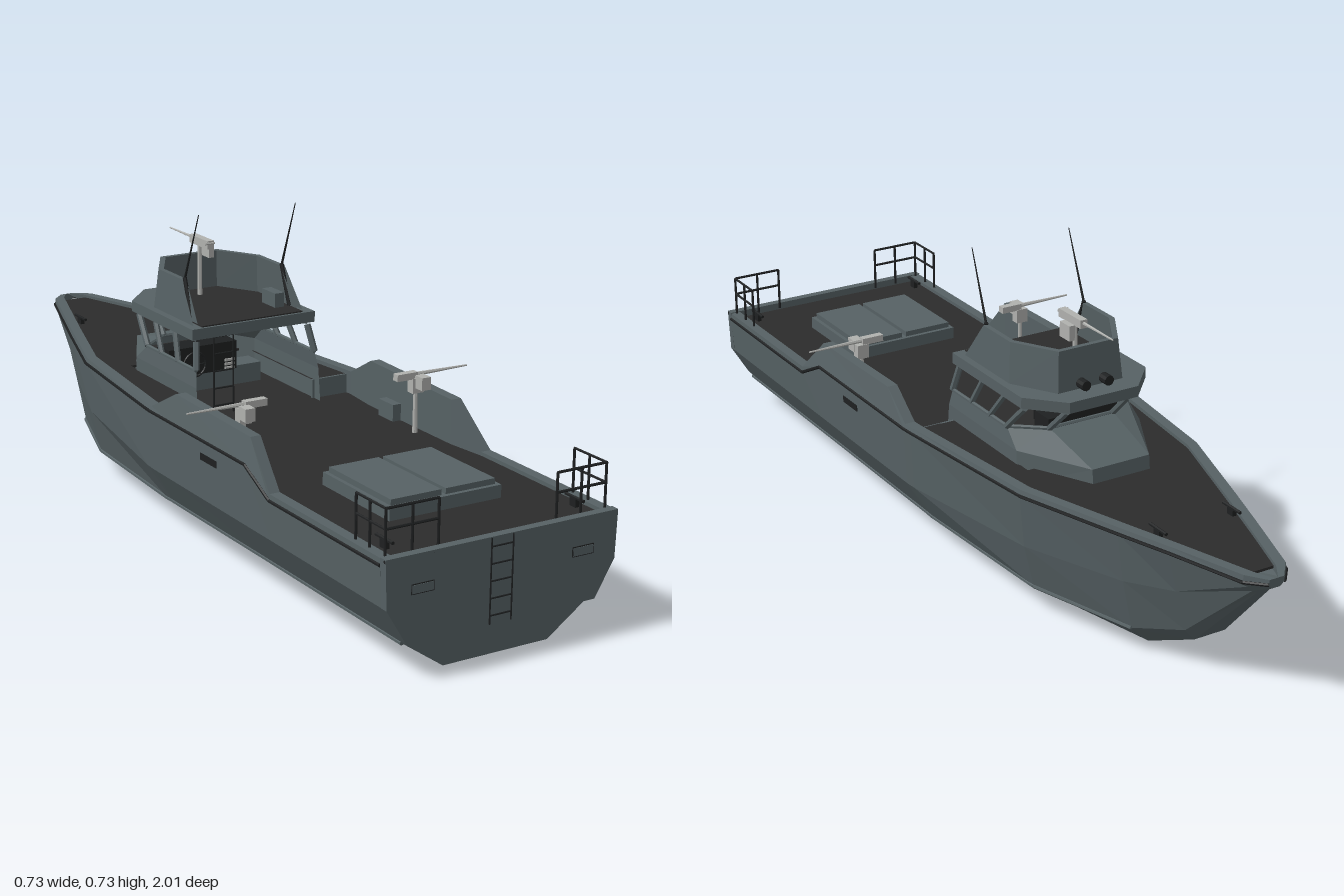
import * as THREE from 'three';

const paint = (name, color) => Object.assign(new THREE.MeshStandardMaterial({ color, side: THREE.DoubleSide, flatShading: true }), { name });

export function createModel() {
  const boat = new THREE.Group();
  boat.name = 'patrolBoat';
  const grey = paint('hullGrey', 0x566164);
  const deckMat = paint('deckCharcoal', 0x2c2c2c);
  const black = paint('fittingBlack', 0x1e2021);
  const steel = paint('gunSteel', 0xb0b1ae);

  const add = (name, geo, mat, parent = boat) => {
    const m = new THREE.Mesh(geo, mat);
    m.name = name;
    parent.add(m);
    return m;
  };
  const box = (name, w, h, d, x, y, z, mat, parent) => {
    const m = add(name, new THREE.BoxGeometry(w, h, d), mat, parent);
    m.position.set(x, y, z);
    return m;
  };
  // Round bar between two points, optionally tapered
  const bar = (name, a, b, r, mat, parent, r2 = r, sides = 6) => {
    const p = new THREE.Vector3(...a), q = new THREE.Vector3(...b), d = q.clone().sub(p);
    const m = add(name, new THREE.CylinderGeometry(r2, r, d.length(), sides), mat, parent);
    m.position.copy(p).add(q).multiplyScalar(0.5);
    m.quaternion.setFromUnitVectors(new THREE.Vector3(0, 1, 0), d.normalize());
    return m;
  };
  const path = (name, pts, r, mat, parent) => {
    for (let i = 1; i < pts.length; i++) bar(name, pts[i - 1], pts[i], r, mat, parent);
  };
  // Faceted skin over rows of points
  const skin = (rows, caps = false) => {
    const v = [];
    const quad = (a, b, c, d) => v.push(...a, ...b, ...c, ...a, ...c, ...d);
    for (let i = 0; i + 1 < rows.length; i++)
      for (let j = 0; j + 1 < rows[i].length; j++)
        quad(rows[i][j], rows[i][j + 1], rows[i + 1][j + 1], rows[i + 1][j]);
    if (caps) {
      const n = rows[0].length, s = rows[0], e = rows[rows.length - 1];
      for (let j = 2; j < n / 2 - 1; j++) {
        quad(s[j], s[n - 1 - j], s[n - 2 - j], s[j + 1]);
        quad(e[j], e[j + 1], e[n - 2 - j], e[n - 1 - j]);
      }
    }
    const g = new THREE.BufferGeometry();
    g.setAttribute('position', new THREE.Float32BufferAttribute(v, 3));
    g.computeVertexNormals();
    return g;
  };
  // Flat plate from half of a plan outline [x, z], mirrored in x
  const plate = (name, half, y, thick, mat) => {
    const pts = [...half, ...half.map(([x, z]) => [-x, z]).reverse()];
    const s = new THREE.Shape(pts.map(([x, z]) => new THREE.Vector2(x, -z)));
    const g = new THREE.ExtrudeGeometry(s, { depth: thick, bevelEnabled: false }).rotateX(-Math.PI / 2);
    return add(name, g.translate(0, y - thick, 0), mat);
  };

  // Hull stations: z, bottom, lower chine, upper chine, sheer, gunwale top, deck height
  const st = [
    [0.98, [0.13, 0.005], [0.23, 0.075], [0.28, 0.16], [0.285, 0.25], [0.284, 0.265], 0.25],
    [0.56, [0.13, 0.004], [0.23, 0.075], [0.28, 0.16], [0.285, 0.25], [0.284, 0.265], 0.25],
    [0.46, [0.13, 0.003], [0.23, 0.075], [0.28, 0.16], [0.286, 0.30], [0.272, 0.36], 0.25],
    [0.13, [0.13, 0.002], [0.23, 0.074], [0.28, 0.16], [0.286, 0.30], [0.272, 0.366], 0.25],
    [0.03, [0.13, 0.001], [0.23, 0.074], [0.28, 0.16], [0.286, 0.30], [0.282, 0.312], 0.25],
    [0, [0.13, 0], [0.23, 0.073], [0.278, 0.16], [0.284, 0.30], [0.28, 0.312], 0.25],
    [-0.4, [0.12, 0.005], [0.2, 0.065], [0.225, 0.17], [0.237, 0.296], [0.234, 0.31], 0.25],
    [-0.66, [0.07, 0.015], [0.115, 0.06], [0.14, 0.18], [0.155, 0.296], [0.152, 0.31], 0.29],
    [-0.785, [0.04, 0.07], [0.065, 0.1], [0.092, 0.2], [0.114, 0.296], [0.111, 0.31], 0.29],
    [-0.96, [0.018, 0.258], [0.03, 0.265], [0.042, 0.278], [0.055, 0.292], [0.053, 0.308], 0.29],
    [-1, [0.008, 0.284], [0.012, 0.286], [0.016, 0.29], [0.02, 0.294], [0.018, 0.305], 0.304],
  ];
  const rings = st.map(([z, b, c1, c2, s, t, dy]) => {
    const inner = Math.max(t[0] - 0.025, 0.003);
    const half = [[inner, dy], [inner, t[1]], t, s, c2, c1, b];
    return [...half.map(([x, y]) => [x, y, z]), [0, b[1], z], ...half.reverse().map(([x, y]) => [-x, y, z])];
  });
  add('hull', skin(rings, true), grey);
  const transom = new THREE.Shape([[0.233, 0.08], [0.281, 0.16], [0.285, 0.267], [-0.285, 0.267], [-0.281, 0.16], [-0.233, 0.08]].map(p => new THREE.Vector2(...p)));
  add('transom', new THREE.ExtrudeGeometry(transom, { depth: 0.02, bevelEnabled: false }), grey).position.z = 0.98;
  for (const s of [1, -1]) {
    path('rubStrake', st.map(r => [s * r[4][0], r[4][1], r[0]]), 0.004, black);
    path('chineStrake', st.slice(0, 8).map(r => [s * r[2][0], r[2][1], r[0]]), 0.005, grey);
  }
  bar('transomEdge', [-0.285, 0.262, 0.996], [0.285, 0.262, 0.996], 0.004, black);

  // Decks, with the foredeck wrapped around the cabin
  plate('aftDeck', [[0.262, 0.965], [0.262, 0], [0.2, -0.4]], 0.256, 0.006, deckMat);
  plate('foredeck', [[0.258, 0], [0.212, -0.4], [0.13, -0.66], [0.03, -0.95]], 0.302, 0.006, deckMat).name = 'foredeck';
  boat.remove(boat.getObjectByName('foredeck'));
  plate('foredeckBow', [[0.211, -0.4], [0.13, -0.66], [0.03, -0.95]], 0.302, 0.006, deckMat);
  plate('foredeckCabinFront', [[0.222, -0.31], [0.211, -0.4]], 0.302, 0.006, deckMat);
  for (const s of [1, -1]) {
    const side = skin([[[s * 0.16, 0.302, 0.01], [s * 0.258, 0.302, 0.01]], [[s * 0.16, 0.302, -0.32], [s * 0.221, 0.302, -0.32]]]);
    add('sideDeck', side, deckMat);
    box('deckStep', 0.1, 0.05, 0.006, s * 0.21, 0.277, 0.01, grey);
  }

  // Cabin: lower shell, window posts, head band, roof
  const outline = (hw, za, zc, hf, zf, y) => [[hw, y, za], [hw, y, zc], [hf, y, zf], [-hf, y, zf], [-hw, y, zc], [-hw, y, za]];
  const sill = outline(0.16, 0.02, -0.22, 0.085, -0.28, 0.375);
  const head = outline(0.15, 0.003, -0.28, 0.08, -0.345, 0.438);
  add('cabinShell', skin([outline(0.165, 0.04, -0.27, 0.075, -0.45, 0.252), outline(0.165, 0.03, -0.27, 0.075, -0.44, 0.335), sill]), grey);
  add('cabinHeadBand', skin([head, outline(0.151, 0, -0.285, 0.081, -0.35, 0.45)]), grey);
  sill.forEach((p, i) => bar('windowPost', p, head[i], 0.008, grey));
  path('windowSill', sill, 0.005, grey);
  const mix = (a, b, t) => a.map((v, i) => v + (b[i] - v) * t);
  for (const [i, j] of [[0, 1], [5, 4]])
    for (const t of [0.36, 0.7]) bar('windowPost', mix(sill[i], sill[j], t), mix(head[i], head[j], t), 0.007, grey);
  plate('roof', [[0.165, 0.012], [0.165, -0.29], [0.09, -0.37]], 0.471, 0.026, grey);
  plate('roofDeck', [[0.135, 0.005], [0.135, -0.2], [0.075, -0.3]], 0.474, 0.004, deckMat);
  plate('hoodHatch', [[0.055, -0.32], [0.055, -0.4]], 0.004, 0.006, grey).rotation.x = -0.24;
  const hatch = boat.getObjectByName('hoodHatch');
  hatch.position.set(0, 0.274, 0.012);

  // Gun tub on the roof, open at the back
  add('gunTub', skin([
    outline(0.147, -0.015, -0.21, 0.085, -0.315, 0.47), outline(0.139, -0.085, -0.2, 0.078, -0.305, 0.566),
    outline(0.127, -0.085, -0.195, 0.07, -0.293, 0.566), outline(0.135, -0.015, -0.205, 0.077, -0.303, 0.47)]), grey);
  box('tubLocker', 0.025, 0.035, 0.06, 0.105, 0.491, -0.08, grey);
  for (const s of [1, -1]) {
    bar('antennaBase', [s * 0.132, 0.475, -0.05], [s * 0.131, 0.57, -0.085], 0.005, black);
    bar('antenna', [s * 0.131, 0.565, -0.085], [s * 0.129, 0.73, -0.02], 0.003, black, boat, 0.001);
    bar('searchlight', [s * 0.03, 0.488, -0.345], [s * 0.03, 0.488, -0.32], 0.012, black, boat, 0.012, 10);
  }

  // Helm and cabin ladder
  box('dashboard', 0.185, 0.07, 0.06, -0.037, 0.335, -0.2, black);
  box('consoleBase', 0.26, 0.05, 0.06, 0, 0.278, -0.21, grey);
  const wheel = add('steeringWheel', new THREE.TorusGeometry(0.03, 0.003, 6, 20), black);
  wheel.position.set(-0.07, 0.332, -0.15);
  for (let i = 0; i < 3; i++) {
    const a = i * Math.PI / 3, c = 0.03 * Math.cos(a), d = 0.03 * Math.sin(a);
    bar('wheelSpoke', [-0.07 - c, 0.332 - d, -0.15], [-0.07 + c, 0.332 + d, -0.15], 0.002, black);
  }
  for (let i = 0; i < 3; i++) box('switchPanel', 0.025, 0.006, 0.004, 0.035, 0.305 + i * 0.01, -0.168, steel);
  const ladder = (name, x0, x1, y0, y1, z, n) => {
    for (const x of [x0, x1]) bar(name, [x, y0, z], [x, y1, z], 0.002, black);
    for (let i = 0; i < n; i++) {
      const y = y0 + (y1 - y0) * (i + 0.5) / n;
      bar(name, [x0, y, z], [x1, y, z], 0.002, black);
    }
  };
  ladder('cabinLadder', -0.105, -0.053, 0.256, 0.465, 0.005, 5);
  ladder('sternLadder', -0.033, 0.02, 0.08, 0.265, 1.0, 5);

  // Engine hatch and deck locker
  box('engineHatch', 0.28, 0.03, 0.255, -0.004, 0.27, 0.673, grey);
  for (const x of [-0.072, 0.064]) box('hatchLid', 0.125, 0.014, 0.235, x, 0.291, 0.673, grey);
  box('deckLocker', 0.03, 0.04, 0.06, 0.24, 0.276, 0.23, grey);

  for (const s of [1, -1]) {
    // Corner rails at the stern
    for (const y of [0.32, 0.363]) path('sternRail', [[s * 0.145, y, 0.975], [s * 0.27, y, 0.975], [s * 0.27, y, 0.87]], 0.003, black);
    for (const [x, z] of [[0.145, 0.975], [0.207, 0.975], [0.27, 0.975], [0.27, 0.92], [0.27, 0.87]])
      bar('railPost', [s * x, 0.255, z], [s * x, 0.363, z], 0.003, black);

    // Cleats, exhaust plates and side scuppers
    for (const [x, y, z] of [[0.095, 0.318, -0.72], [0.235, 0.276, 0.92]]) {
      bar('cleat', [s * x, y, z - 0.03], [s * x, y, z + 0.03], 0.004, black);
      box('cleatFoot', 0.01, 0.018, 0.02, s * x, y - 0.01, z, black);
    }
    box('exhaustFrame', 0.054, 0.022, 0.003, s * 0.197, 0.194, 1.0, black);
    box('exhaustPlate', 0.05, 0.018, 0.005, s * 0.197, 0.194, 1.0, grey);
    box('sideScupper', 0.004, 0.016, 0.07, s * 0.284, 0.262, 0.3, black);

    // Side machine guns, barrels pointing outboard
    const gun = new THREE.Group();
    gun.name = 'sideGun';
    gun.position.set(s * 0.225, 0, 0.35);
    boat.add(gun);
    bar('gunPost', [0, 0.255, 0], [0, 0.36, 0], 0.006, steel, gun, 0.005, 8);
    box('gunCradle', 0.03, 0.035, 0.022, 0, 0.37, 0, steel, gun);
    box('gunReceiver', 0.055, 0.016, 0.018, -s * 0.028, 0.394, 0, steel, gun);
    box('ammoBox', 0.024, 0.03, 0.03, s * 0.004, 0.38, 0.022, steel, gun);
    bar('gunBarrel', [0, 0.395, 0], [s * 0.14, 0.395, 0], 0.005, steel, gun, 0.002);
  }

  // Roof gun, barrel pointing at the bow
  bar('roofGunPost', [0, 0.472, -0.25], [0, 0.6, -0.25], 0.006, steel, boat, 0.005, 8);
  box('roofGunReceiver', 0.018, 0.02, 0.09, 0, 0.608, -0.24, steel);
  box('roofGunAmmoBox', 0.014, 0.036, 0.04, 0.021, 0.585, -0.25, steel);
  bar('roofGunBarrel', [0, 0.61, -0.28], [0, 0.61, -0.4], 0.004, steel, boat, 0.002);
  bar('roofGunGrip', [-0.016, 0.612, -0.195], [0.01, 0.612, -0.195], 0.003, steel);
  return boat;
}
